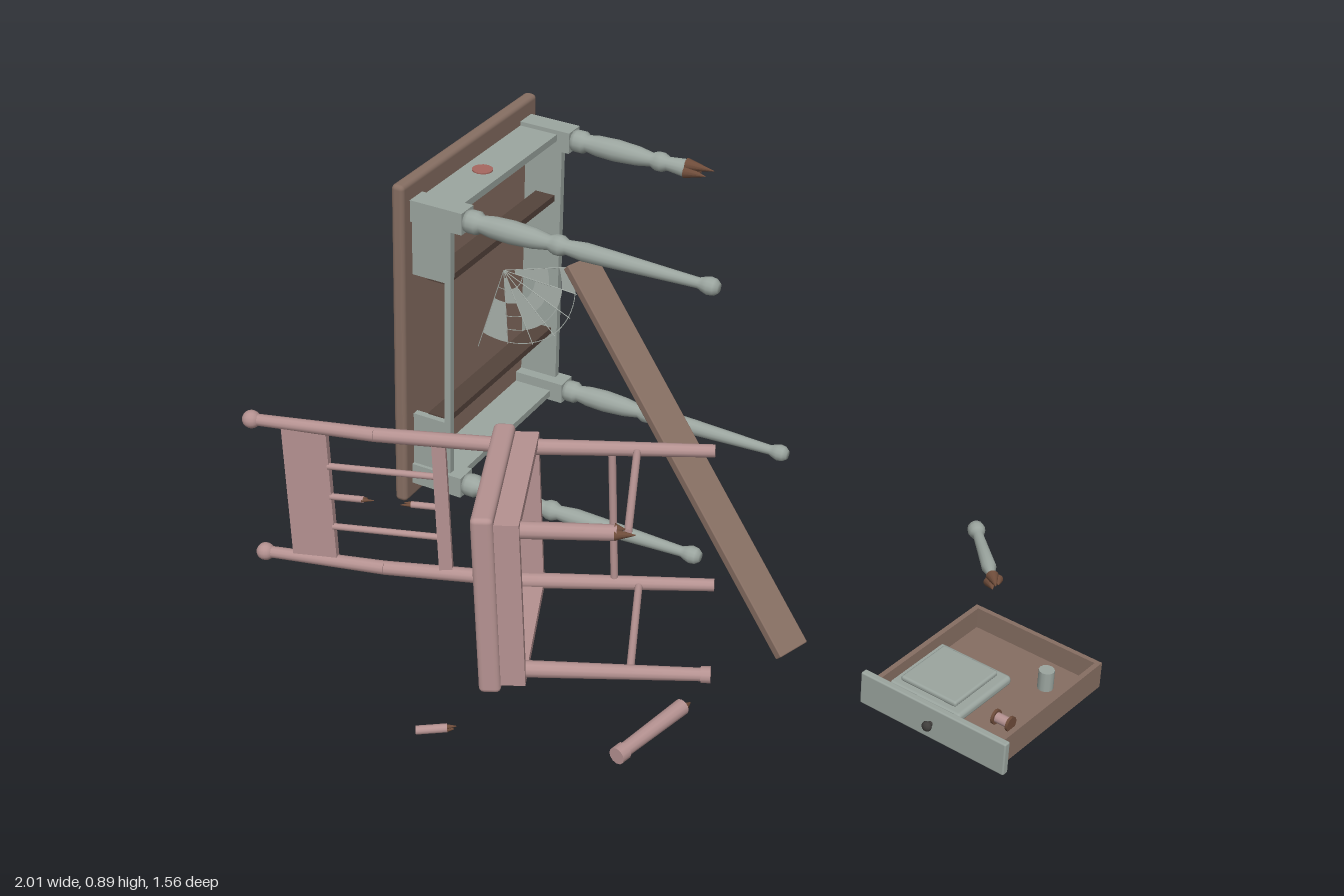
import * as THREE from 'three';
import { RoundedBoxGeometry } from 'three/addons/geometries/RoundedBoxGeometry.js';

const mat = (name, color, side = THREE.FrontSide) => {
  const m = new THREE.MeshStandardMaterial({ color, side });
  m.name = name;
  return m;
};
const V = (x, y, z) => new THREE.Vector3(x, y, z);
const UP = V(0, 1, 0);

// Turned table leg: distance from tabletop, radius
const LEG = [[.13, .024], [.15, .029], [.17, .029], [.18, .022], [.21, .027], [.26, .029], [.32, .025], [.36, .018],
  [.375, .025], [.39, .025], [.405, .018], [.45, .023], [.52, .021], [.6, .018], [.68, .015], [.74, .013],
  [.752, .018], [.765, .022], [.78, .02], [.79, .012]];

export function createModel() {
  const wood = mat('brown wood', 0x86705f);
  wood.color.set(0x866e62);
  const grey = mat('grey green paint', 0x9ba59f);
  const pink = mat('dusty pink paint', 0xb59291);
  const dark = mat('dark wood', 0x54433b);
  const raw = mat('raw broken wood', 0x6e4c3a);
  const metal = mat('dark metal', 0x3f3d3b);
  const silk = mat('cobweb', 0xa9b1ab, THREE.DoubleSide);
  const stain = mat('red stain', 0xa5675f);

  const model = new THREE.Group();
  const group = (name, parent = model) => {
    const g = new THREE.Group();
    g.name = name;
    parent.add(g);
    return g;
  };
  const add = (parent, name, geo, m, x = 0, y = 0, z = 0) => {
    const mesh = new THREE.Mesh(geo, m);
    mesh.name = name;
    mesh.position.set(x, y, z);
    parent.add(mesh);
    return mesh;
  };
  const box = (p, name, m, w, h, d, x, y, z) => add(p, name, new THREE.BoxGeometry(w, h, d), m, x, y, z);
  const soft = (p, name, m, w, h, d, x, y, z, r) => add(p, name, new RoundedBoxGeometry(w, h, d, 2, r), m, x, y, z);
  // Tapered rod from a to b
  const rod = (p, name, m, a, b, r0, r1 = r0) => {
    const mesh = add(p, name, new THREE.CylinderGeometry(r1, r0, a.distanceTo(b), 12), m);
    mesh.position.copy(a).lerp(b, .5);
    mesh.quaternion.setFromUnitVectors(UP, b.clone().sub(a).normalize());
    return mesh;
  };
  // Splintered end pointing from a along dir
  const splinter = (p, a, dir, r, len) => {
    const side = V(dir.y, dir.z, dir.x).cross(dir).normalize();
    for (let i = 0; i < 3; i++) {
      const s = a.clone().addScaledVector(side.clone().applyAxisAngle(dir, i * 2.1), r * .4);
      rod(p, 'splinter', raw, s, s.clone().addScaledVector(dir, len * (1 - i * .25)), r * .65, .001);
    }
  };
  const turned = (from, to) => new THREE.LatheGeometry([
    new THREE.Vector2(0, 0),
    ...LEG.filter(([u]) => u >= from && u <= to).map(([u, r]) => new THREE.Vector2(r, u - from)),
    new THREE.Vector2(0, Math.min(to, .79) - from)], 14);

  // ---- Table tipped on its short edge; x runs along the legs ----
  const table = group('table');
  table.position.set(-.655, .45, -.457);
  table.rotation.set(0, -.265, -.059, 'YXZ');
  soft(table, 'tabletop', wood, .034, .88, .653, 0, 0, 0, .012);
  const frame = group('frame', table);
  frame.position.x = .017;
  for (const s of [-1, 1]) {
    box(frame, 'shortApron', grey, .105, .018, .5, .0525, s * .375, 0);
    box(frame, 'drawerSideApron', grey, .105, .15, .018, .0525, s * .27, .277);
    box(frame, 'drawerRunner', dark, .055, .017, .54, .06, s * .195 - .005, 0);
    for (const w of [-1, 1]) {
      box(frame, 'legBlock', grey, .14, .056, .056, .07, s * .367, w * .267);
      const broken = s > 0 && w < 0;
      const leg = add(frame, 'leg', turned(.13, broken ? .46 : .8), grey, .13, s * .367, w * .267);
      leg.rotation.z = -Math.PI / 2;
      if (broken) splinter(frame, V(.455, s * .367, w * .267), V(1, 0, 0), .026, .075);
    }
  }
  box(frame, 'longApron', grey, .105, .7, .018, .0525, 0, -.277);
  box(frame, 'drawerRail', grey, .016, .42, .018, .097, 0, .277);
  add(frame, 'stain', new THREE.CylinderGeometry(.026, .026, .004, 16), stain, .05, .385, .04);

  // Loose end of the broken table leg
  const looseLeg = group('brokenTableLeg');
  const tip = V(.733, .024, -.035), foot = V(.674, .023, -.268);
  looseLeg.position.copy(tip);
  looseLeg.quaternion.setFromUnitVectors(UP, foot.sub(tip).normalize());
  add(looseLeg, 'legEnd', turned(.54, .8), grey);
  splinter(looseLeg, V(0, .01, 0), V(0, -1, 0), .024, .045);

  // ---- Cobweb fan beside the table leg ----
  const web = group('cobweb');
  web.position.set(-.462, .7, -.122);
  web.rotation.y = -.265;
  const a0 = -1.92, n = 6, step = 2.17 / n, R = .195;
  for (let i = 0; i <= n; i++) {
    const a = a0 + i * step;
    rod(web, 'thread', silk, V(0, 0, 0), V(Math.cos(a) * R * (i ? 1 : 1.2), Math.sin(a) * R * (i ? 1 : 1.2), 0), .001);
  }
  for (const r of [.05, .085, .12, .155, .19])
    add(web, 'ringThread', new THREE.RingGeometry(r - .001, r + .001, 24, 1, a0, n * step), silk);
  for (const [i, r0, r1] of [[5, .03, .12], [5, .155, .19], [4, .085, .155], [2, .05, .155], [3, .085, .12], [0, .085, .19], [1, 0.02, .085]])
    add(web, 'webPanel', new THREE.RingGeometry(r0, r1, 4, 1, a0 + i * step, step), silk);

  // ---- Leaning plank ----
  const pTop = V(-.27, .757, -.085), pEnd = V(.298, .018, .322);
  const d = pTop.clone().sub(pEnd), len = d.length();
  d.normalize();
  const across = V(-d.z, 0, d.x).normalize();
  const plank = soft(model, 'plank', wood, .088, len, .022, 0, 0, 0, .003);
  plank.quaternion.setFromRotationMatrix(new THREE.Matrix4().makeBasis(across, d, across.clone().cross(d)));
  plank.position.copy(pTop).lerp(pEnd, .5);

  // ---- Chair fallen on its side; y is the chair's own up, z its front ----
  const chair = group('chair');
  const t = .125, c = Math.cos(t), s0 = Math.sin(t);
  chair.quaternion.setFromRotationMatrix(new THREE.Matrix4().makeBasis(UP, V(-c, 0, s0), V(s0, 0, c)));
  chair.position.set(-.34, .238, .382);
  soft(chair, 'seat', pink, .456, .05, .42, 0, .027, 0, .012);
  for (const s of [-1, 1]) {
    box(chair, 'sideApron', pink, .02, .055, .38, s * .2, -.025, 0);
    box(chair, 'endApron', pink, .42, .055, .02, 0, -.025, s * .19);
    // Back post, back leg and front leg
    const X = s * .183;
    rod(chair, 'backPost', pink, V(X, .03, -.182), V(X, .33, -.212), .018, .017);
    rod(chair, 'backPost', pink, V(X, .33, -.212), V(X, .625, -.268), .017, .014);
    add(chair, 'finial', new THREE.SphereGeometry(.022, 14, 10), pink, X, .628, -.268);
    rod(chair, 'backLeg', pink, V(X, 0, -.178), V(X, -.455, -.182), .019, .015);
    if (s < 0) {
      rod(chair, 'frontLeg', pink, V(X, 0, .172), V(X, -.455, .172), .02, .015);
      rod(chair, 'frontFoot', pink, V(X, -.44, .172), V(X, -.462, .172), .019);
    } else {
      rod(chair, 'frontLegStub', pink, V(X, 0, .172), V(X, -.26, .172), .02, .018);
      splinter(chair, V(X, -.255, .172), V(0, -1, 0), .02, .045);
    }
    rod(chair, 'sideStretcher', pink, V(X, -.278, -.18), V(X, -.283, .172), .009);
    rod(chair, 'spindle', pink, V(s * .083, .18, -.197), V(s * .083, .45, -.232), .008);
  }
  rod(chair, 'backStretcher', pink, V(-.183, -.22, -.18), V(.183, -.22, -.18), .009);
  const rail = box(chair, 'topRail', pink, .35, .11, .018, 0, .5, -.245);
  rail.rotation.x = -.17;
  box(chair, 'lowerRail', pink, .35, .032, .018, 0, .18, -.197);
  // Broken middle spindle
  rod(chair, 'brokenSpindle', pink, V(0, .18, -.197), V(0, .255, -.207), .008);
  rod(chair, 'brokenSpindle', pink, V(0, .45, -.232), V(0, .37, -.222), .008);
  splinter(chair, V(0, .25, -.207), V(0, 1, 0), .008, .03);
  splinter(chair, V(0, .375, -.222), V(0, -1, 0), .008, .03);

  // Loose chair pieces on the floor
  rod(model, 'brokenChairLeg', pink, V(.09, .02, .575), V(-.008, .02, .755), .019, .016);
  rod(model, 'brokenChairFoot', pink, V(-.004, .02, .748), V(-.016, .02, .77), .02);
  splinter(model, V(.09, .02, .575), V(.48, 0, -.88).normalize(), .016, .022);
  rod(model, 'looseSpindle', pink, V(-.465, .012, .75), V(-.4, .012, .73), .01);
  splinter(model, V(-.4, .012, .73), V(.956, 0, -.294).normalize(), .009, .02);

  // ---- Drawer on the floor ----
  const drawer = group('drawer');
  drawer.position.set(.743, .005, .393);
  drawer.rotation.y = -.557;
  box(drawer, 'drawerFloor', wood, .34, .012, .39, 0, .008, 0);
  for (const s of [-1, 1]) box(drawer, 'drawerSide', wood, .012, .065, .39, s * .164, .0335, 0);
  box(drawer, 'drawerBack', wood, .34, .065, .012, 0, .0335, -.189);
  box(drawer, 'drawerInnerFront', wood, .34, .065, .012, 0, .0335, .183);
  soft(drawer, 'drawerFront', grey, .385, .082, .018, 0, .04, .199, .004);
  const knob = add(drawer, 'knob', new THREE.SphereGeometry(.012, 12, 8), metal, 0, .04, .222);
  knob.scale.z = .8;
  rod(drawer, 'knobStem', metal, V(0, .04, .205), V(0, .04, .22), .006);
  // Things left in the drawer
  soft(drawer, 'boxBase', grey, .2, .024, .2, -.07, .026, .045, .01);
  soft(drawer, 'boxLid', grey, .15, .014, .16, -.07, .043, .045, .006);
  rod(drawer, 'cup', grey, V(.091, .014, -.096), V(.091, .062, -.096), .018);
  const spool = group('spool', drawer);
  spool.position.set(.104, .032, .085);
  rod(spool, 'thread', pink, V(-.016, 0, 0), V(.016, 0, 0), .012);
  for (const s of [-1, 1]) rod(spool, 'spoolEnd', raw, V(s * .016, 0, 0), V(s * .022, 0, 0), .018);

  return model;
}
